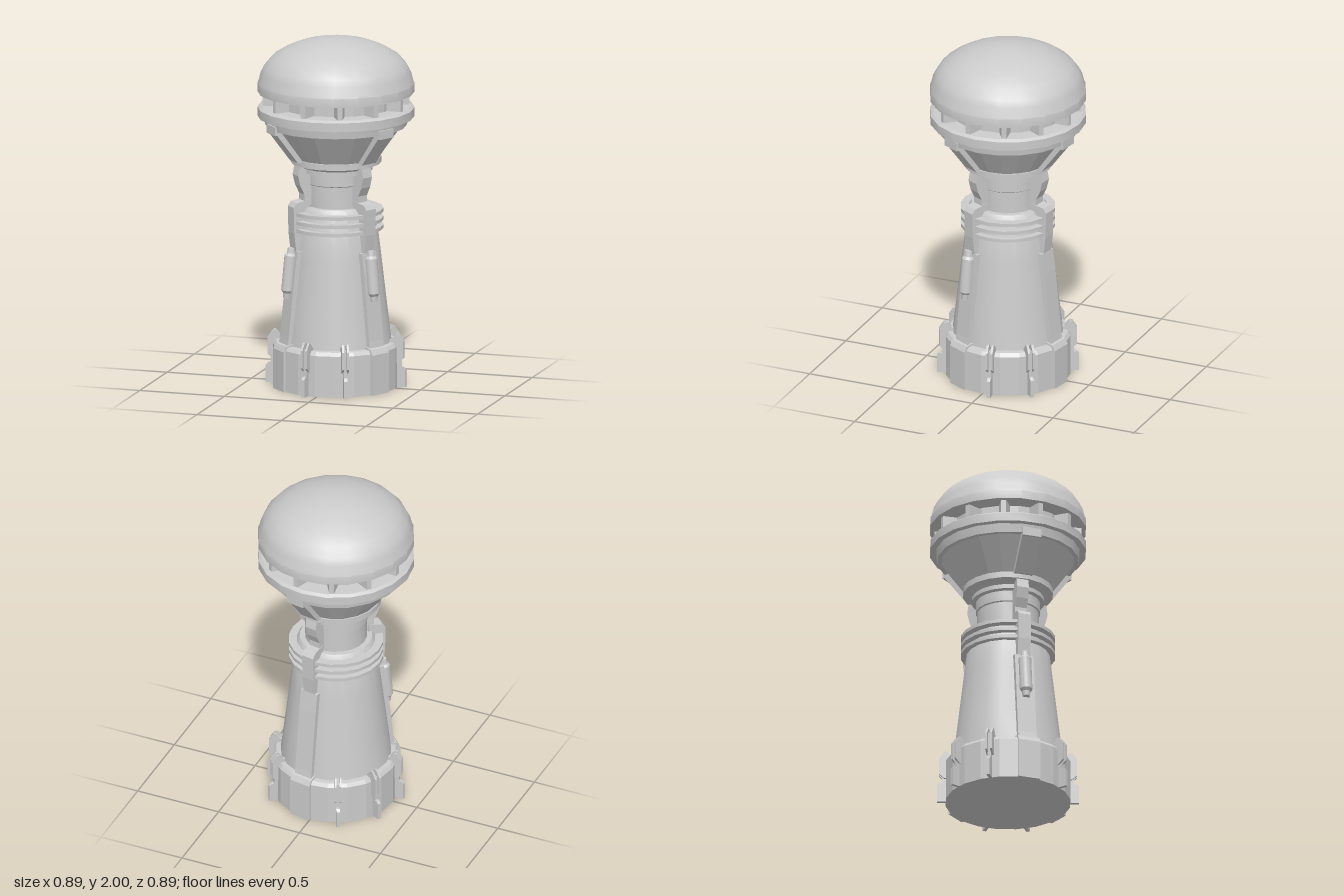
import * as THREE from 'three';
import { toCreasedNormals } from 'three/addons/utils/BufferGeometryUtils.js';

const SIDES = 20;
const material = new THREE.MeshStandardMaterial({ color: 0xcccccc });

function add(parent, name, geometry) {
  const mesh = new THREE.Mesh(geometry, material);
  mesh.name = name;
  parent.add(mesh);
  return mesh;
}

// Turned part from [radius, height] points, listed upwards along the outside
function turned(parent, name, points, crease = 0.5) {
  const profile = points.map(([r, y]) => new THREE.Vector2(r, y));
  const mesh = add(parent, name, toCreasedNormals(new THREE.LatheGeometry(profile, SIDES), crease));
  mesh.rotation.y = -0.023;
  return mesh;
}

// Flat [radius, height] outline given a thickness across the radial direction
function slab(parent, name, points, width, offset = 0) {
  const shape = new THREE.Shape(points.map(([r, y]) => new THREE.Vector2(r, y)));
  const geometry = new THREE.ExtrudeGeometry(shape, { depth: width, bevelEnabled: false });
  geometry.translate(0, 0, offset - width / 2);
  return add(parent, name, geometry);
}

// Group whose local +x points outwards; degrees run from the front towards +x
function spoke(parent, name, degrees) {
  const group = new THREE.Group();
  group.name = name;
  group.rotation.y = THREE.MathUtils.degToRad(degrees - 90);
  parent.add(group);
  return group;
}

function addConduit(parent, degrees, hasCanister) {
  const g = spoke(parent, 'conduit', degrees);
  // strap lying on the flared collar
  slab(g, 'collarStrap', [[0.22, 1.31], [0.265, 1.31], [0.395, 1.48], [0.41, 1.48], [0.41, 1.53], [0.34, 1.53]], 0.11);
  // bowed pipe beside the neck
  slab(g, 'neckPipe', [[0.15, 1.06], [0.215, 1.06], [0.215, 1.12], [0.24, 1.17], [0.255, 1.23],
    [0.245, 1.28], [0.24, 1.32], [0.17, 1.32]], 0.07);
  // box clipped over the ribs
  slab(g, 'ribBox', [[0.18, 0.8], [0.268, 0.8], [0.28, 0.9], [0.284, 1.05], [0.265, 1.075], [0.18, 1.09]], 0.075);
  // wide channel down the tower to the base
  slab(g, 'towerChannel', [[0.25, 0.2], [0.34, 0.2], [0.325, 0.3], [0.285, 0.68], [0.268, 0.8], [0.2, 0.8]], 0.11);
  slab(g, 'channelFoot', [[0.28, 0], [0.362, 0], [0.362, 0.23], [0.345, 0.26], [0.28, 0.28]], 0.13);
  if (!hasCanister) return;
  const canister = turned(g, 'canister', [[0, -0.145], [0.02, -0.145], [0.024, -0.115], [0.036, -0.1],
    [0.036, 0.1], [0.024, 0.115], [0.02, 0.145], [0, 0.145]]);
  canister.position.set(0.294, 0.67, 0);
  canister.rotation.z = 0.1;
}

export function createModel() {
  const model = new THREE.Group();
  model.name = 'tower';

  // Faceted base and tapering shaft
  turned(model, 'base', [[0, 0], [0.355, 0], [0.355, 0.235], [0.34, 0.255], [0.3, 0.26]], 0.2);
  turned(model, 'shaft', [[0.315, 0.24], [0.29, 0.45], [0.255, 0.75], [0.222, 1.02], [0.205, 1.045], [0.15, 1.045]]);

  // Thin ribs around the top of the shaft
  for (const y of [0.915, 0.962, 1.01]) {
    turned(model, 'rib', [[0.2, y - 0.01], [0.268, y - 0.01], [0.268, y + 0.01], [0.2, y + 0.01]]);
  }

  // Neck with a stepped collar
  turned(model, 'neck', [[0.175, 1.03], [0.175, 1.17], [0.182, 1.175], [0.182, 1.235], [0.205, 1.24],
    [0.205, 1.265], [0.235, 1.28], [0.255, 1.285], [0.255, 1.32], [0.22, 1.32]]);
  turned(model, 'flaredCollar', [[0.24, 1.31], [0.375, 1.5], [0.375, 1.52]], 0.2);

  // Lower gallery ring, recessed core and dome
  turned(model, 'lowerRing', [[0.36, 1.5], [0.4, 1.5], [0.408, 1.55], [0.443, 1.55], [0.443, 1.6],
    [0.425, 1.612], [0.33, 1.615]]);
  turned(model, 'galleryCore', [[0.34, 1.6], [0.34, 1.71]], 0.2);
  turned(model, 'dome', [[0.33, 1.69], [0.443, 1.69], [0.443, 1.74], [0.436, 1.755], [0.425, 1.8], [0.405, 1.84],
    [0.36, 1.89], [0.29, 1.934], [0.2, 1.97], [0.1, 1.993], [0, 2]]);

  // Wedge-shaped fins holding up the dome
  for (let i = 0; i < 12; i++) {
    const g = spoke(model, 'galleryFin', -9 + i * 30);
    const geometry = new THREE.BoxGeometry(0.1, 0.1, 0.07);
    const p = geometry.attributes.position;
    for (let v = 0; v < p.count; v++) if (p.getX(v) > 0) p.setZ(v, p.getZ(v) * 0.4);
    geometry.computeVertexNormals();
    add(g, 'fin', geometry).position.set(0.365, 1.655, 0);
  }

  // Ten stations around the base: three carry conduits, the rest clamps
  for (let i = 0; i < 10; i++) {
    const degrees = -46 + i * 36;
    if (i === 0 || i === 3 || i === 6) {
      addConduit(model, degrees, i !== 6);
      continue;
    }
    const g = spoke(model, 'baseClamp', degrees);
    for (const side of [-1, 1]) {
      slab(g, 'clampPlate', [[0.3, 0.14], [0.36, 0.14], [0.388, 0.165], [0.388, 0.265], [0.36, 0.305],
        [0.345, 0.305], [0.3, 0.25]], 0.012, side * 0.014);
    }
    slab(g, 'clampSpine', [[0.3, 0.02], [0.372, 0.02], [0.372, 0.27], [0.3, 0.27]], 0.02);
    slab(g, 'clampFoot', [[0.3, 0], [0.4, 0], [0.4, 0.1], [0.385, 0.115], [0.3, 0.115]], 0.02);
  }
  return model;
}
